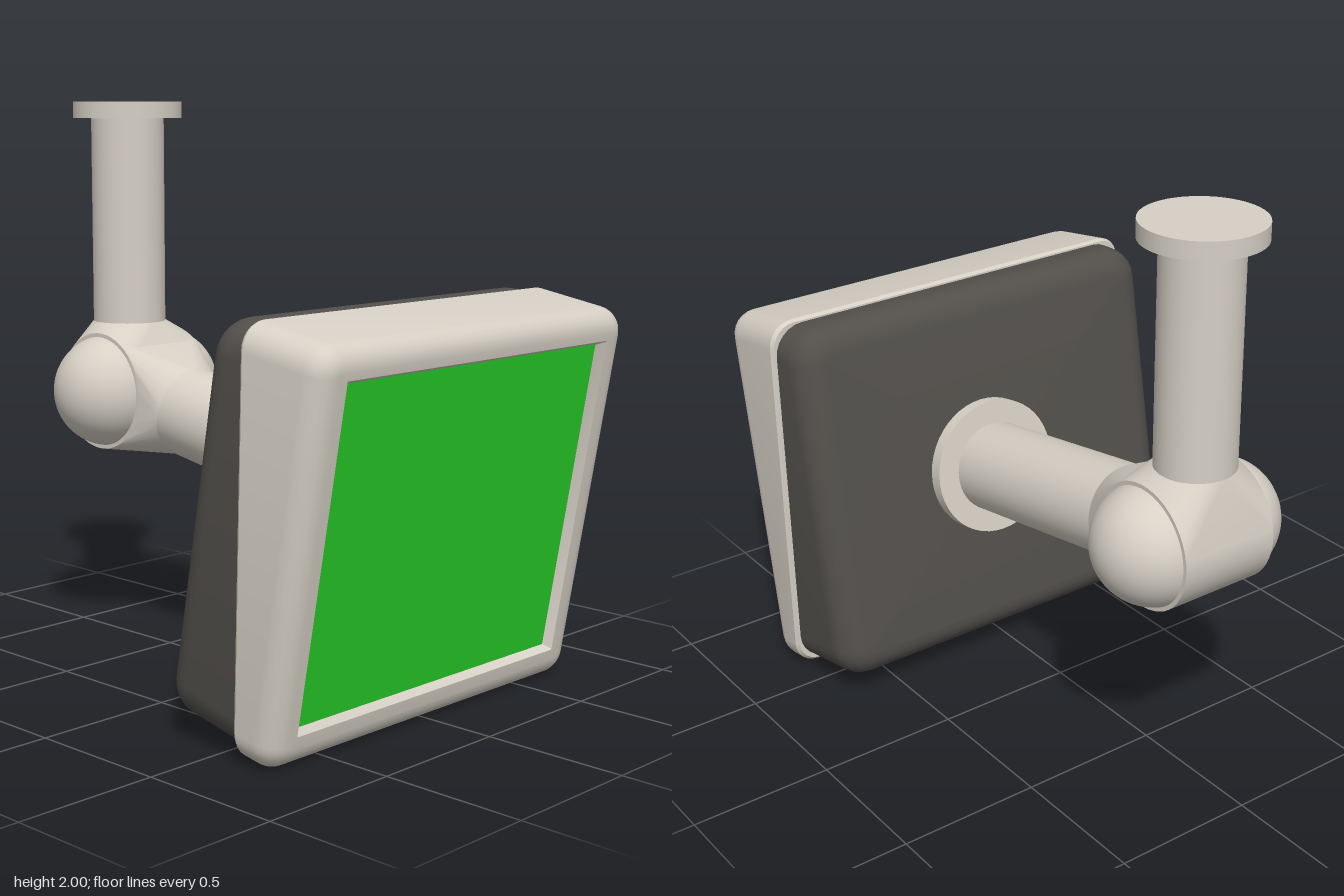
import * as THREE from 'three';
import { toCreasedNormals } from 'three/addons/utils/BufferGeometryUtils.js';
import { ConvexGeometry } from 'three/addons/geometries/ConvexGeometry.js';

const TILT = THREE.MathUtils.degToRad(10);
const CX = 0.05; // the arm sits slightly off the panel's centre line
const HUB_R = 0.215, HUB_HALF = 0.18;

const shellMat = new THREE.MeshStandardMaterial({ color: 0xd6d0c5 });
const backMat = new THREE.MeshStandardMaterial({ color: 0x524f4b });
const screenMat = new THREE.MeshStandardMaterial({ color: 0x28d028 });

function add(parent, name, geometry, material, x = 0, y = 0, z = 0) {
  const mesh = new THREE.Mesh(geometry, material);
  mesh.name = name;
  mesh.position.set(x, y, z);
  parent.add(mesh);
  return mesh;
}

// Rounded rectangle ring; depth is a number or a function of height
function ring(hw, bottom, top, r, depth) {
  const pts = [], n = 6;
  const corners = [[hw - r, top - r], [r - hw, top - r], [r - hw, bottom + r], [hw - r, bottom + r]];
  corners.forEach(([cx, cy], k) => {
    for (let i = 0; i <= n; i++) {
      const a = (k + i / n) * Math.PI / 2;
      const y = cy + r * Math.sin(a);
      pts.push(new THREE.Vector3(cx + r * Math.cos(a), y, typeof depth === 'function' ? depth(y) : depth));
    }
  });
  return pts;
}

// Skin a list of equal-length rings, ordered back to front
function loft(rings) {
  const n = rings[0].length, index = [];
  for (let j = 0; j < rings.length - 1; j++) {
    for (let i = 0; i < n; i++) {
      const a = j * n + i, b = j * n + (i + 1) % n;
      index.push(a, b, a + n, b, b + n, a + n);
    }
  }
  const g = new THREE.BufferGeometry().setFromPoints(rings.flat());
  g.setIndex(index);
  return toCreasedNormals(g.toNonIndexed(), 0.5);
}

function circle(r, place) {
  return Array.from({ length: 48 }, (_, i) => {
    const a = i / 48 * Math.PI * 2;
    return place(r * Math.cos(a), r * Math.sin(a));
  });
}

export function createModel() {
  const model = new THREE.Group();
  model.name = 'monitorOnArm';

  // Ceiling post and mounting cap
  add(model, 'ceilingPost', new THREE.CylinderGeometry(0.134, 0.134, 0.77, 48), shellMat, CX, 1.565, -0.765);
  add(model, 'ceilingCap', new THREE.CylinderGeometry(0.2, 0.2, 0.06, 48), shellMat, CX, 1.97, -0.765);

  // Everything below the post is tilted about the elbow joint
  const tilted = new THREE.Group();
  tilted.name = 'tiltedAssembly';
  tilted.position.set(0, 0.942, -0.73);
  tilted.rotation.x = TILT;
  model.add(tilted);

  // Elbow: a cross barrel blended into the post and into the arm
  const barrel = [-HUB_HALF, HUB_HALF].flatMap(x =>
    circle(HUB_R, (p, q) => new THREE.Vector3(CX + x, p, q)));
  const armRing = circle(0.163, (p, q) => new THREE.Vector3(CX + p, q - 0.012, 0.3));
  const postRing = circle(0.134, (p, q) => new THREE.Vector3(CX + p, 0.248, q - 0.035)
    .applyAxisAngle(new THREE.Vector3(1, 0, 0), -TILT));
  add(tilted, 'elbowArmSocket', toCreasedNormals(new ConvexGeometry([...barrel, ...armRing]), 0.5), shellMat);
  add(tilted, 'elbowPostSocket', toCreasedNormals(new ConvexGeometry([...barrel, ...postRing]), 0.5), shellMat);
  for (const side of [-1, 1]) {
    add(tilted, side > 0 ? 'leftElbowDome' : 'rightElbowDome',
      new THREE.SphereGeometry(0.206, 48, 32), shellMat, CX + side * 0.134, 0, 0);
  }

  // Arm and its flange on the back of the panel
  const arm = new THREE.CylinderGeometry(0.163, 0.163, 0.82, 48).rotateX(Math.PI / 2);
  add(tilted, 'arm', arm, shellMat, CX, -0.012, 0.71);
  const flange = new THREE.CylinderGeometry(0.245, 0.245, 0.06, 48).rotateX(Math.PI / 2);
  add(tilted, 'armFlange', flange, shellMat, CX, -0.012, 1.1);

  // The seam between the two housings slants
  const seam = y => 1.372 - 0.147 * (y + 0.014);
  const inset = (i, depth, r = 0.09) =>
    ring(0.76 - i, -0.682 + i, 0.657 - i, Math.max(r - i, 0.01), depth);
  const steps = [0, 1, 2, 3, 4, 5, 6].map(k => k / 6 * Math.PI / 2);

  // Rear housing with a softly rounded back
  const backR = 0.1, lip = 0.016;
  add(tilted, 'rearHousing', loft([
    ring(0.02, -0.03, 0.01, 0.001, 1.12),
    ...steps.map(t => inset(lip + backR * (1 - Math.sin(t)), 1.12 + backR * (1 - Math.cos(t)), 0.14)),
    inset(lip, y => seam(y) + 0.01, 0.12),
  ]), backMat);
  add(tilted, 'rearCover', new THREE.PlaneGeometry(0.05, 0.05).rotateY(Math.PI), backMat, 0, -0.01, 1.12);

  // Front bezel: seam lip, rounded front edge, bevelled screen opening
  const frontR = 0.075, frontW = 1.622;
  add(tilted, 'frontBezel', loft([
    inset(0.05, seam),
    inset(0.01, seam),
    inset(0, y => seam(y) + 0.014),
    ...steps.map(t => inset(frontR * (1 - Math.cos(t)), frontW - frontR * (1 - Math.sin(t)))),
    ring(0.646, -0.567, 0.558, 0.004, frontW),
    ring(0.628, -0.554, 0.54, 0.004, frontW - 0.03),
  ]), shellMat);

  // Screen
  add(tilted, 'screen', new THREE.PlaneGeometry(1.256, 1.094), screenMat, 0, -0.007, frontW - 0.03);

  return model;
}
